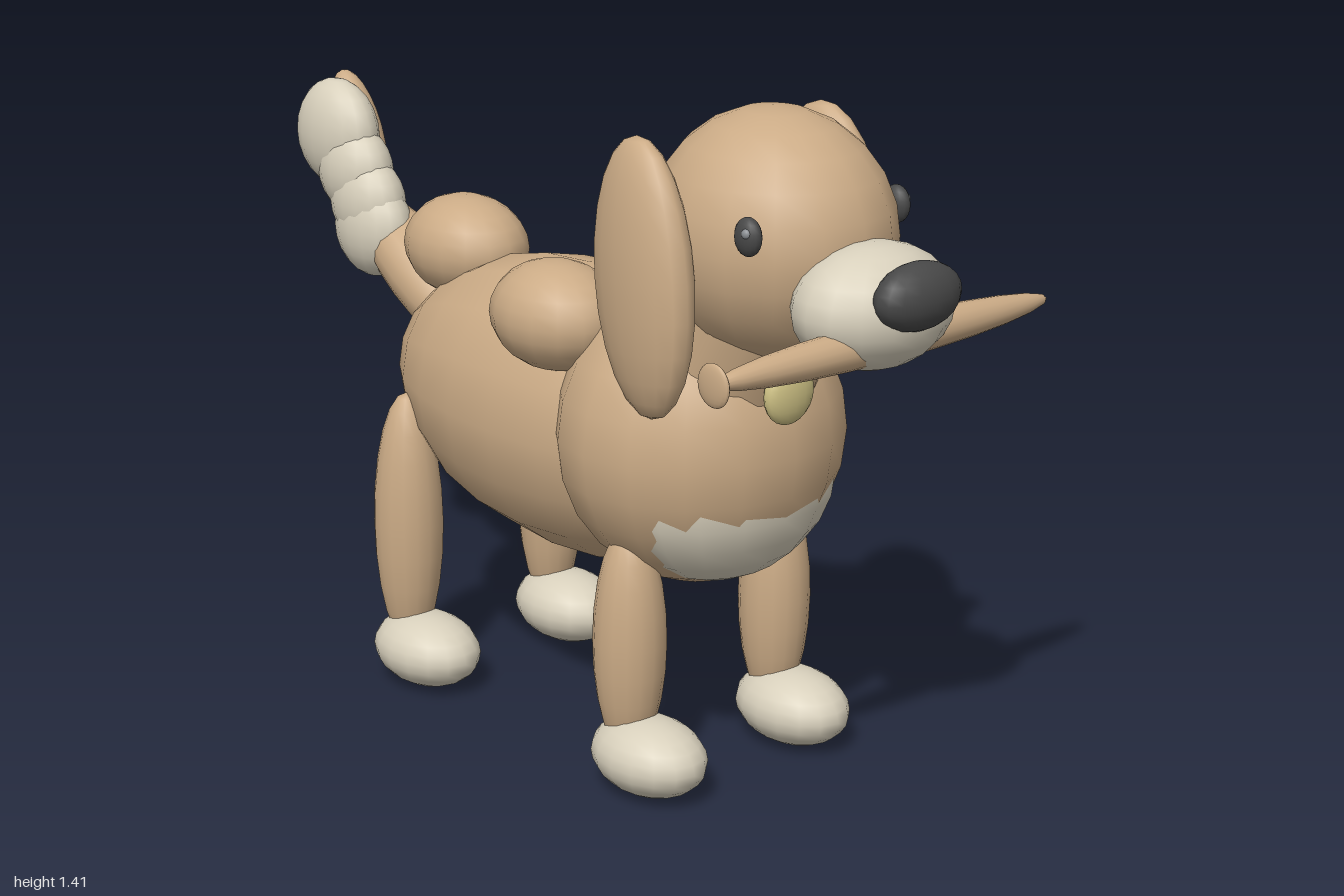
import * as THREE from 'three';

const material = (name, color) => {
  const m = new THREE.MeshStandardMaterial({ color });
  m.name = name;
  return m;
};

export function createModel() {
  const dog = new THREE.Group();
  dog.name = 'dog';
  const tan = material('tan fur', 0xcbab86);
  const cream = material('cream fur', 0xd8d0bc);
  const dark = material('dark grey', 0x484848);
  const shine = material('eye shine', 0x8c9094);
  const brass = material('pale brass', 0xcfc285);
  const ball = new THREE.SphereGeometry(1, 16, 12);

  // Every soft part is a stretched, optionally tilted ball
  const blob = (name, mat, pos, radii, rot = [0, 0, 0]) => {
    const mesh = new THREE.Mesh(ball, mat);
    mesh.name = name;
    mesh.position.set(...pos);
    mesh.scale.set(...radii);
    mesh.rotation.set(...rot);
    dog.add(mesh);
    return mesh;
  };

  // Torso
  const body = blob('body', tan, [0, 0.68, 0], [0.31, 0.56, 0.28], [0, 0, Math.PI / 2]);
  body.position.x = 0.005;
  blob('chest', tan, [0.35, 0.72, 0], [0.28, 0.32, 0.31]);
  blob('bib', cream, [0.42, 0.64, 0], [0.19, 0.22, 0.26]);
  blob('leftShoulder', tan, [0.125, 0.94, 0.19], [0.155, 0.113, 0.125]);
  blob('rightShoulder', tan, [0.24, 0.93, -0.195], [0.155, 0.113, 0.115]);
  blob('rump', tan, [-0.415, 0.94, 0], [0.155, 0.113, 0.125]);

  // Neck leaning forward from chest to head
  const neck = new THREE.Mesh(new THREE.CylinderGeometry(0.17, 0.2, 0.31, 16), tan);
  neck.name = 'neck';
  neck.position.set(0.475, 0.985, 0);
  neck.rotation.z = -0.51;
  dog.add(neck);

  // Head
  blob('head', tan, [0.55, 1.165, 0], [0.257, 0.25, 0.234]);
  blob('muzzle', cream, [0.825, 1.08, 0], [0.135, 0.122, 0.175]);
  blob('nose', dark, [0.94, 1.122, 0], [0.054, 0.066, 0.105]);
  blob('nameTag', brass, [0.625, 0.86, 0.02], [0.025, 0.063, 0.063]);

  // Mirrored features on each side
  for (const [side, s] of [['left', -1], ['right', 1]]) {
    blob(side + 'Ear', tan, [0.455, 1.095, s * 0.245], [0.14, 0.277, 0.068], [0, -s * 0.1, 0.1]);
    blob(side + 'Eye', dark, [0.69, 1.217, s * 0.195], [0.032, 0.038, 0.021]);
    blob(side + 'EyeShine', shine, [0.7, 1.227, s * 0.21], [0.01, 0.01, 0.008]);
    blob(side + 'FrontLeg', tan, [0.365, 0.31, s * 0.2], [0.076, 0.25, 0.076]);
    blob(side + 'BackLeg', tan, [-0.375, 0.36, s * 0.2], [0.077, 0.293, 0.076]);
    for (const [end, x] of [['Front', 0.427], ['Back', -0.315]]) {
      blob(side + end + 'Paw', cream, [x, 0.08, s * 0.2], [0.138, 0.08, 0.103]);
    }
  }

  // Stick held in the mouth, with a cut end
  blob('stick', tan, [0.865, 1.02, 0], [0.041, 0.443, 0.041], [Math.PI / 2, 0, 0]);
  blob('stickEnd', tan, [0.865, 1.02, 0.437], [0.042, 0.042, 0.01]);

  // Tail: tan root, cream puffs and a tan tuft behind
  blob('tailRoot', tan, [-0.6, 0.835, -0.02], [0.08, 0.25, 0.085], [0, 0, 1.0]);
  const puffs = [[-0.745, 0.915, 0.112], [-0.765, 0.97, 0.105], [-0.81, 1.035, 0.105], [-0.875, 1.11, 0.125]];
  puffs.forEach(([x, y, r], i) => blob('tailPuff' + (i + 1), cream, [x, y, 0.008], [r, r, 0.073]));
  blob('tailTuft', tan, [-0.875, 1.1, -0.05], [0.06, 0.15, 0.052], [0, 0, 0.42]);

  return dog;
}
